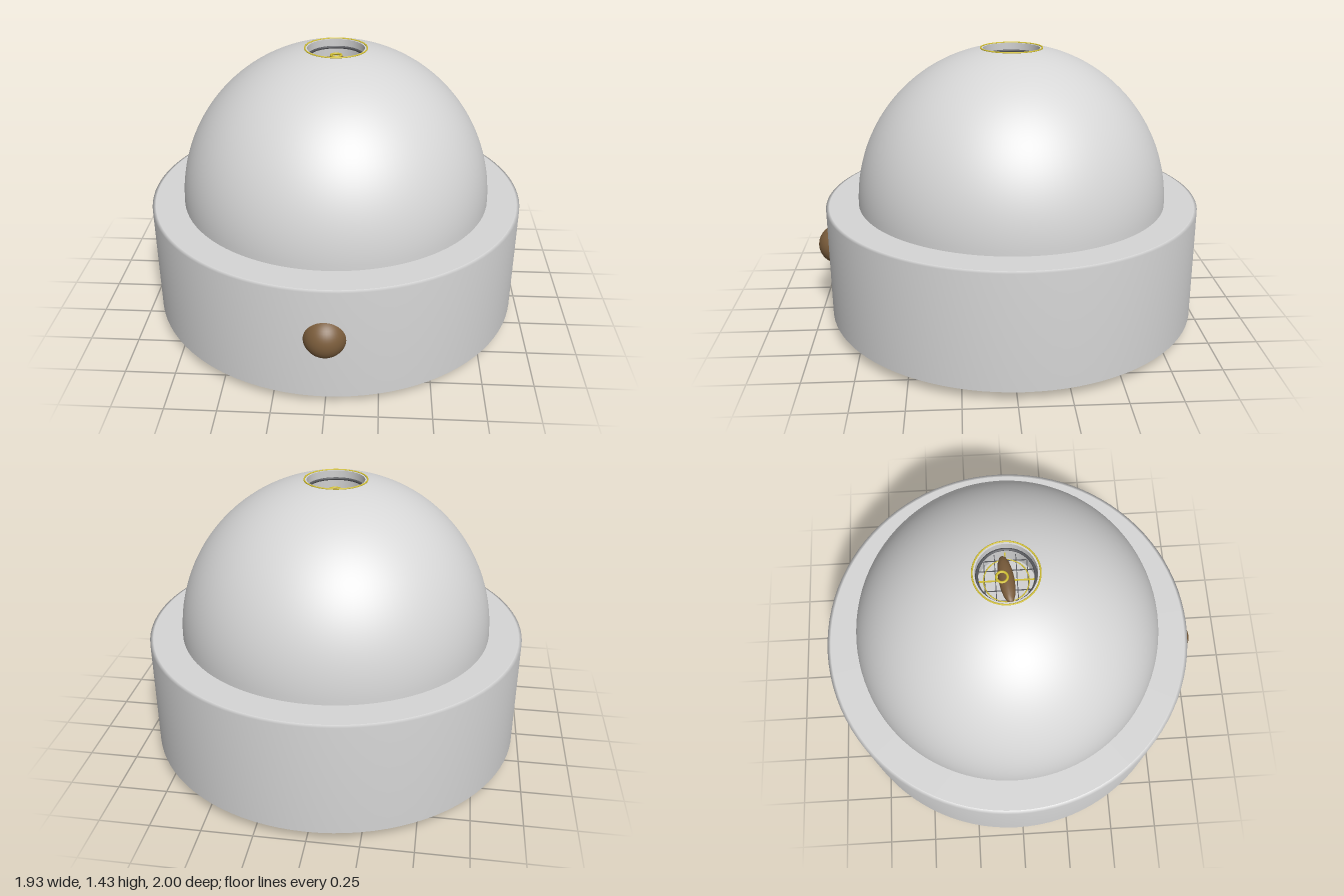
import * as THREE from 'three';

const mat = (name, color, side = THREE.FrontSide) => {
  const m = new THREE.MeshStandardMaterial({ color, side });
  m.name = name;
  return m;
};

export function createModel() {
  const group = new THREE.Group();
  const shell = mat('shell grey', 0xd6d6d6);
  const inner = mat('inner grey', 0xd0d0d0, THREE.DoubleSide);
  const wire = mat('dark wire', 0x55565a);
  const brown = mat('brown', 0x7a5c3b);
  const yellow = mat('yellow trim', 0xd2c032);

  const body = new THREE.Group();
  body.name = 'body';
  body.position.z = -0.03;
  group.add(body);

  const add = (name, geometry, material, x = 0, y = 0, z = 0) => {
    const mesh = new THREE.Mesh(geometry, material);
    mesh.name = name;
    mesh.position.set(x, y, z);
    body.add(mesh);
    return mesh;
  };
  const lathe = (name, pts, material) => add(name,
    new THREE.LatheGeometry(pts.map(([r, y]) => new THREE.Vector2(r, y)), 96), material);
  const flatRing = (name, r0, r1, y, up, material) => {
    const geometry = new THREE.RingGeometry(r0, r1, 96);
    geometry.rotateX(up ? -Math.PI / 2 : Math.PI / 2);
    return add(name, geometry, material, 0, y);
  };

  // Wide drum with softly shaded wall
  lathe('drumWall', [[0.95, 0.05], [0.967, 0.055], [0.967, 0.635], [0.95, 0.64]], shell);
  flatRing('drumRim', 0.78, 0.95, 0.64, true, shell);
  flatRing('drumUnderside', 0.495, 0.95, 0.05, false, shell);

  // Foot set into a shallow groove
  lathe('grooveWall', [[0.495, 0.075], [0.495, 0.05]], inner);
  flatRing('grooveFloor', 0.46, 0.495, 0.075, false, shell);
  lathe('footWall', [[0.46, 0], [0.46, 0.075]], shell);
  flatRing('footUnderside', 0.27, 0.46, 0, false, shell);
  lathe('footDish', [[0.27, 0], [0, 0.04]], inner);

  // Dome, cut open at the crown
  const R = 0.8, hole = 0.155, cy = 0.64;
  const domePoints = [];
  const end = Math.acos(hole / R);
  for (let i = 0; i <= 40; i++) {
    const a = end * i / 40;
    domePoints.push([R * Math.cos(a), cy + R * Math.sin(a)]);
  }
  lathe('dome', domePoints, shell);

  // Vent well and its trim
  lathe('ventWall', [[0.145, 1.26], [0.145, 1.425]], inner);
  flatRing('ventFloor', 0, 0.145, 1.26, true, inner);
  flatRing('ventLip', 0.143, 0.158, 1.425, true, shell);
  const torus = (name, r, tube, y, material) => {
    const geometry = new THREE.TorusGeometry(r, tube, 8, 64);
    geometry.rotateX(Math.PI / 2);
    add(name, geometry, material, 0, y);
  };
  torus('ventTrim', 0.155, 0.004, 1.426, yellow);
  torus('ventInnerRing', 0.135, 0.007, 1.385, wire);
  torus('ventGuideRing', 0.105, 0.003, 1.335, yellow);

  // Crossed grille wires, with a yellow middle pair
  for (let i = -2; i <= 2; i++) {
    const offset = i * 0.05;
    const length = 2 * Math.sqrt(0.14 ** 2 - offset ** 2);
    const thick = i === 0 ? 0.006 : 0.004;
    const material = i === 0 ? yellow : wire;
    add('grilleBarAcross', new THREE.BoxGeometry(length, thick, thick), material, 0, 1.335, offset);
    add('grilleBarAlong', new THREE.BoxGeometry(thick, thick, length), material, offset, 1.335, 0);
  }

  // Spindle-shaped piece hanging in the vent, with a small ring
  const spindle = add('spindle', new THREE.SphereGeometry(1, 16, 8), brown, 0, 1.35, 0);
  spindle.scale.set(0.12, 0.03, 0.037);
  spindle.rotation.y = 0.12;
  const loop = new THREE.TorusGeometry(0.026, 0.006, 8, 24);
  loop.rotateX(Math.PI / 2);
  add('spindleLoop', loop, yellow, 0, 1.38, -0.02);

  // Round knob on the front
  add('frontKnob', new THREE.SphereGeometry(0.105, 40, 24), brown, 0, 0.38, 0.925);

  return group;
}
